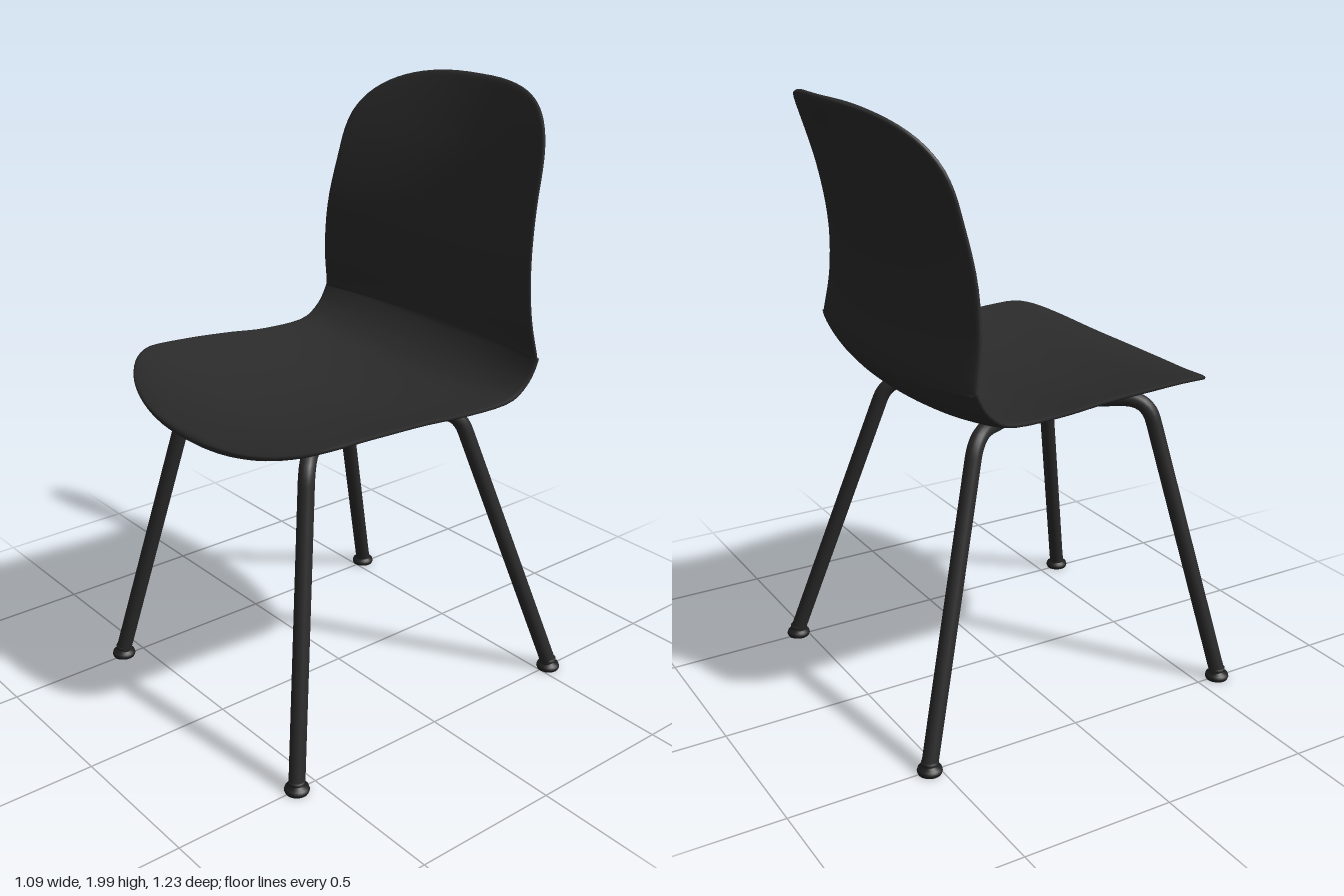
import * as THREE from 'three';
import { mergeVertices } from 'three/addons/utils/BufferGeometryUtils.js';

const shellMat = new THREE.MeshStandardMaterial({ color: 0x2b2b2b });
shellMat.name = 'charcoal shell';
const frameMat = new THREE.MeshStandardMaterial({ color: 0x2a2a2a });
frameMat.name = 'black frame';
const footMat = new THREE.MeshStandardMaterial({ color: 0x1e1e1e });
footMat.name = 'dark glide';

function add(parent, name, geometry, material) {
  const mesh = new THREE.Mesh(geometry, material);
  mesh.name = name;
  parent.add(mesh);
  return mesh;
}

// Centre line of the shell, front lip to back top: z, y, half width, side curl
const PROFILE = [
  [0.605, 1.015, 0.535, 0.03], [0.5, 1.04, 0.535, 0.05], [0.4, 1.045, 0.538, 0.065],
  [0.24, 1.025, 0.537, 0.08], [0.08, 1.01, 0.53, 0.085], [-0.08, 1.0, 0.525, 0.08],
  [-0.27, 1.025, 0.528, 0.055], [-0.37, 1.075, 0.53, 0.06], [-0.435, 1.145, 0.53, 0.075],
  [-0.45, 1.2, 0.525, 0.08], [-0.435, 1.34, 0.51, 0.09], [-0.442, 1.5, 0.495, 0.1],
  [-0.487, 1.68, 0.475, 0.12], [-0.545, 1.84, 0.47, 0.14], [-0.605, 1.99, 0.465, 0.15],
];

// Rounded end of the outline: 0 at the tip, 1 past the given length
function cap(d, length, power) {
  const k = Math.max(0, 1 - Math.max(0, d) / length);
  return Math.pow(1 - Math.pow(k, power), 1 / power);
}

// Thin closed cross-sections, curled towards the sitter at the sides
function shellGeometry() {
  const rows = 80, ring = 56, half = 0.015;
  const spline = (f) => new THREE.CatmullRomCurve3(PROFILE.map(f), false, 'catmullrom', 0.5);
  const line = spline(([z, y]) => new THREE.Vector3(0, y, z));
  const size = spline(([, , w, curl]) => new THREE.Vector3(w, curl, 0));
  const pos = [], index = [];
  for (let i = 0; i <= rows; i++) {
    const t = (1 - Math.cos((Math.PI * i) / rows)) / 2;
    const p = line.getPoint(t), tan = line.getTangent(t), s = size.getPoint(t);
    const front = t < 0.5;
    const d = i === 0 || i === rows ? 0 : front ? 0.605 - p.z : (1.99 - p.y) * 1.06;
    const w = s.x * (front ? cap(d, 0.23, 2) : cap(d, 0.33, 2.4));
    const thick = half * cap(d, 0.02, 2);
    for (let j = 0; j < ring; j++) {
      const a = (2 * Math.PI * j) / ring, sin = Math.sin(a);
      const x = w * Math.cos(a);
      const off = s.y * (x / 0.53) ** 2 + thick * Math.sign(sin) * Math.sqrt(Math.abs(sin));
      pos.push(x, p.y - tan.z * off, p.z + tan.y * off);
      if (i < rows) {
        const k = i * ring + j, n = i * ring + ((j + 1) % ring);
        index.push(k, k + ring, n, n, k + ring, n + ring);
      }
    }
  }
  let g = new THREE.BufferGeometry();
  g.setAttribute('position', new THREE.Float32BufferAttribute(pos, 3));
  g.setIndex(index);
  g = mergeVertices(g, 1e-5);
  g.computeVertexNormals();
  return g;
}

// Straight runs joined by rounded bends
function bentPath(points, radius) {
  const v = points.map((p) => new THREE.Vector3(...p));
  const path = new THREE.CurvePath();
  let from = v[0];
  for (let i = 1; i < v.length - 1; i++) {
    const inP = v[i].clone().add(v[i - 1].clone().sub(v[i]).setLength(radius));
    const outP = v[i].clone().add(v[i + 1].clone().sub(v[i]).setLength(radius));
    path.add(new THREE.LineCurve3(from, inP));
    path.add(new THREE.QuadraticBezierCurve3(inP, v[i], outP));
    from = outP;
  }
  path.add(new THREE.LineCurve3(from, v[v.length - 1]));
  return path;
}

export function createModel() {
  const chair = new THREE.Group();
  chair.name = 'chair';
  add(chair, 'seatShell', shellGeometry(), shellMat);

  for (const s of [1, -1]) {
    // One tube makes the front leg, under-seat rail and rear leg of a side
    const path = bentPath([
      [s * 0.505, 0.025, 0.575], [s * 0.318, 0.99, 0.38], [s * 0.09, 0.963, 0.125],
      [s * 0.305, 0.985, -0.25], [s * 0.505, 0.025, -0.535],
    ], 0.08);
    add(chair, s > 0 ? 'leftLegFrame' : 'rightLegFrame',
      new THREE.TubeGeometry(path, 160, 0.026, 16), frameMat);

    // Foot glides
    for (const z of [0.575, -0.535]) {
      const foot = new THREE.LatheGeometry([[0, 0], [0.037, 0], [0.04, 0.008], [0.037, 0.018],
        [0.02, 0.024], [0.026, 0.03], [0.026, 0.04], [0, 0.044]]
        .map(([x, y]) => new THREE.Vector2(x, y)), 24);
      add(chair, 'footGlide', foot, footMat).position.set(s * 0.505, 0, z);
    }

    // Collars where the rails enter the centre clamp
    const collar = add(chair, 'clampCollar', new THREE.CylinderGeometry(0.024, 0.028, 0.07, 20), frameMat);
    collar.rotation.z = -s * Math.PI / 2;
    collar.position.set(s * 0.1, 0.963, 0.125);
  }

  // Centre clamp and the mount that meets the shell
  const clamp = add(chair, 'centreClamp', new THREE.CylinderGeometry(0.031, 0.031, 0.15, 24), frameMat);
  clamp.rotation.z = Math.PI / 2;
  clamp.position.set(0, 0.963, 0.125);
  add(chair, 'seatMount', new THREE.BoxGeometry(0.2, 0.03, 0.08), frameMat).position.set(0, 0.99, 0.125);
  return chair;
}
